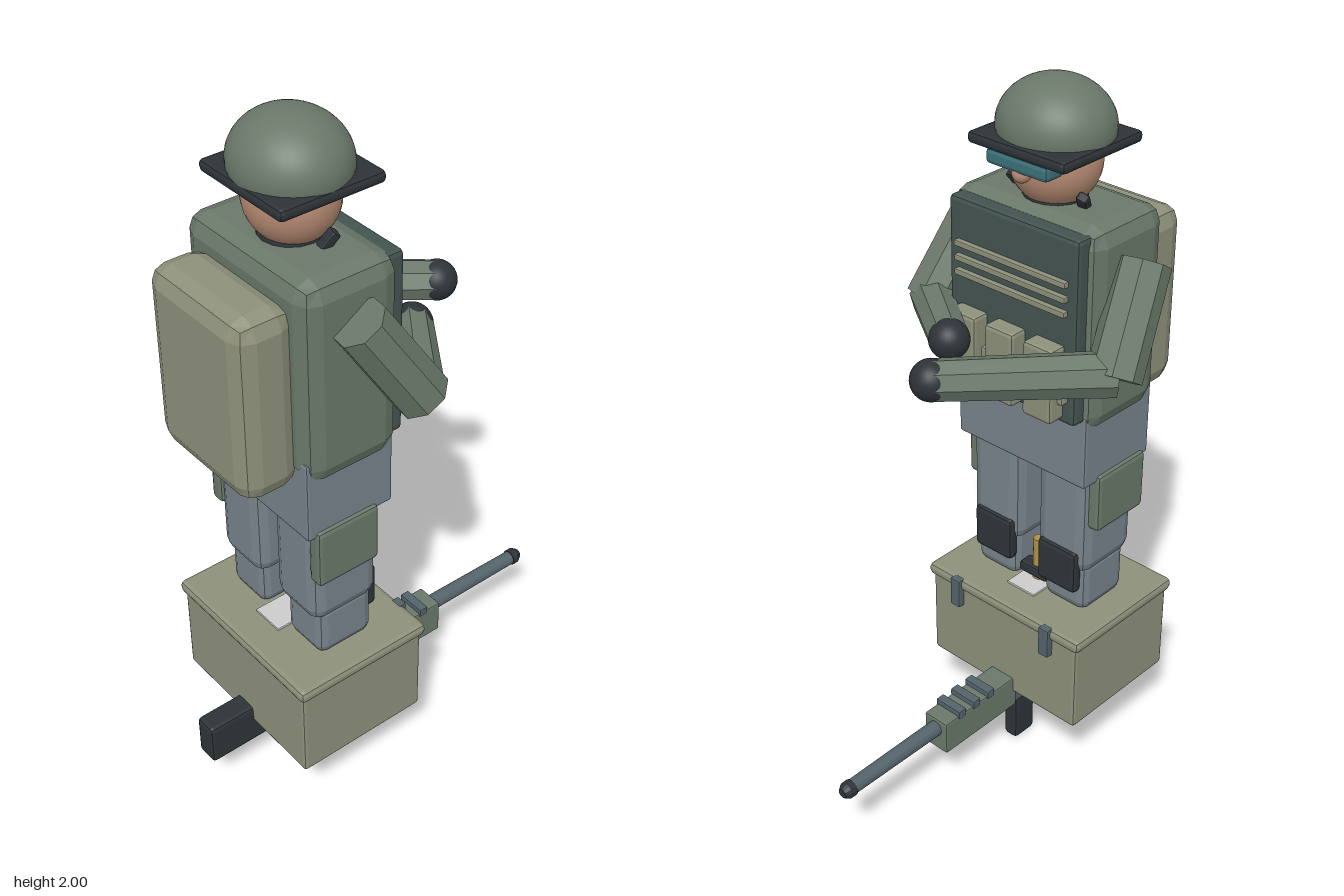
import * as THREE from 'three';
import { RoundedBoxGeometry } from 'three/addons/geometries/RoundedBoxGeometry.js';

const C = {
  green: 0x6a786a, plate: 0x43534f, sand: 0x8d907a, dark: 0x2d3338, cloth: 0x77828a,
  skin: 0xb58a72, teal: 0x3d7078, metal: 0x54636b, brass: 0xb08d45, paper: 0xcccccc,
};

export function createModel() {
  const root = new THREE.Group();

  const add = (name, geo, color, flat = true, parent = root) => {
    const mesh = new THREE.Mesh(geo, new THREE.MeshStandardMaterial({ color, flatShading: flat }));
    mesh.name = name;
    parent.add(mesh);
    return mesh;
  };
  // Chamfered block given by its x, y and z ranges
  const block = (name, color, [x0, x1], [y0, y1], [z0, z1], bevel = 0.01, parent = root) => {
    const w = x1 - x0, h = y1 - y0, d = z1 - z0;
    const geo = new RoundedBoxGeometry(w, h, d, 1, Math.min(bevel, w / 2.1, h / 2.1, d / 2.1));
    const mesh = add(name, geo, color, true, parent);
    mesh.position.set((x0 + x1) / 2, (y0 + y1) / 2, (z0 + z1) / 2);
    return mesh;
  };
  // Tapered faceted rod between two points
  const rod = (name, color, a, b, ra, rb, sides = 8, parent = root) => {
    const p = new THREE.Vector3(...a), q = new THREE.Vector3(...b);
    const dir = q.clone().sub(p);
    const mesh = add(name, new THREE.CylinderGeometry(rb, ra, dir.length(), sides), color, true, parent);
    mesh.position.copy(p).add(q).multiplyScalar(0.5);
    mesh.quaternion.setFromUnitVectors(new THREE.Vector3(0, 1, 0), dir.normalize());
    return mesh;
  };
  const ball = (name, color, [x, y, z], r, [sx, sy, sz] = [1, 1, 1], parent = root) => {
    const mesh = add(name, new THREE.SphereGeometry(r, 32, 20), color, false, parent);
    mesh.position.set(x, y, z);
    mesh.scale.set(sx, sy, sz);
    return mesh;
  };
  const group = (name) => {
    const g = new THREE.Group();
    g.name = name;
    root.add(g);
    return g;
  };
  // x range reflected to the chosen side
  const side = (s, a, b) => (s > 0 ? [a, b] : [-b, -a]);

  // Crate with lid and latches
  const crate = group('crate');
  block('crateBody', C.sand, [-0.27, 0.27], [0.215, 0.51], [0.045, 0.445], 0.01, crate);
  block('crateLid', C.sand, [-0.282, 0.282], [0.485, 0.522], [0.035, 0.455], 0.014, crate);
  for (const s of [-1, 1]) {
    block('latch', C.metal, side(s, 0.15, 0.185), [0.43, 0.522], [0.025, 0.05], 0.004, crate);
  }

  // Items lying on the lid
  block('paperSheet', C.paper, [-0.05, 0.05], [0.52, 0.528], [0.12, 0.36], 0.002);
  block('smallDarkCase', C.dark, [-0.05, 0.05], [0.54, 0.572], [0.17, 0.22], 0.008);
  rod('brassCartridge', C.brass, [0, 0.52, 0.2], [0, 0.66, 0.2], 0.02, 0.018, 12);

  // Long gun lying below the crate
  const gun = group('gun');
  block('gunStock', C.dark, [-0.035, 0.035], [0.14, 0.267], [0.335, 0.585], 0.012, gun);
  block('gunReceiver', C.metal, [-0.035, 0.035], [0.16, 0.262], [0.05, 0.345], 0.006, gun);
  block('gunHandguard', C.green, [-0.042, 0.042], [0.16, 0.265], [-0.23, 0.06], 0.006, gun);
  block('gunGrip', C.dark, [-0.026, 0.026], [0.05, 0.2], [0.218, 0.302], 0.01, gun);
  block('gunMagazine', C.dark, [-0.024, 0.024], [0, 0.2], [0.08, 0.162], 0.012, gun);
  for (let i = 0; i < 3; i++) {
    const z = -0.05 - i * 0.058;
    block('railLug', C.metal, [-0.045, 0.045], [0.255, 0.281], [z - 0.014, z + 0.014], 0.003, gun);
  }
  rod('gunBarrel', C.metal, [0, 0.232, -0.22], [0, 0.232, -0.555], 0.023, 0.021, 14, gun);
  rod('gunMuzzle', C.dark, [0, 0.232, -0.55], [0, 0.232, -0.57], 0.024, 0.024, 14, gun);
  rod('gunMuzzleTip', C.dark, [0, 0.232, -0.57], [0, 0.232, -0.585], 0.024, 0.014, 14, gun);

  // Legs, knee pads and thigh pouches
  for (const s of [-1, 1]) {
    const leg = group(s > 0 ? 'leftLeg' : 'rightLeg');
    block('lowerLeg', C.cloth, side(s, 0.052, 0.2), [0.52, 0.68], [0.157, 0.33], 0.025, leg);
    block('upperLeg', C.cloth, side(s, 0.032, 0.208), [0.65, 0.99], [0.142, 0.352], 0.035, leg);
    block('kneePad', C.dark, side(s, 0.05, 0.185), [0.59, 0.722], [0.13, 0.165], 0.012, leg);
    block('thighPouch', C.green, side(s, 0.19, 0.236), [0.805, 0.98], [0.163, 0.355], 0.012, leg);
  }

  // Hips and torso
  block('hips', C.cloth, [-0.224, 0.224], [0.962, 1.2], [0.112, 0.378], 0.008);
  block('torso', C.green, [-0.242, 0.242], [1.13, 1.695], [0.1, 0.382], 0.05);
  block('backpack', C.sand, [-0.19, 0.19], [1.118, 1.63], [0.36, 0.528], 0.05);

  // Chest plate with webbing and pouches
  const vest = group('vest');
  block('chestPlate', C.plate, [-0.215, 0.215], [1.165, 1.68], [0.073, 0.14], 0.012, vest);
  for (const y of [1.48, 1.52, 1.56]) {
    block('webbingStrip', C.sand, [-0.185, 0.185], [y - 0.008, y + 0.008], [0.058, 0.08], 0.003, vest);
  }
  block('pouchBelt', C.sand, [-0.193, 0.193], [1.23, 1.3], [0.05, 0.08], 0.006, vest);
  for (const x of [-0.13, 0, 0.13]) {
    block('chestPouch', C.sand, [x - 0.048, x + 0.048], [1.18, 1.39], [0.022, 0.08], 0.01, vest);
  }

  // Arms bent forward, the right one reaching further
  for (const [name, s, hand] of [
    ['leftArm', 1, [0.095, 1.36, -0.055]],
    ['rightArm', -1, [-0.018, 1.36, -0.235]],
  ]) {
    const arm = group(name);
    const elbow = [s * 0.315, 1.34, 0.1];
    rod('upperArm', C.green, [s * 0.272, 1.585, 0.255], elbow, 0.07, 0.072, 8, arm);
    rod('forearm', C.green, [s * 0.315, 1.35, 0.105], hand, 0.06, 0.054, 8, arm);
    ball('glove', C.dark, hand, 0.054, [1, 1, 1], arm);
  }

  // Head, nose, goggles and chin straps
  const head = group('head');
  rod('neck', C.dark, [0, 1.66, 0.235], [0, 1.72, 0.235], 0.09, 0.08, 16, head);
  ball('face', C.skin, [0, 1.79, 0.232], 0.122, [1, 1, 0.96], head);
  ball('nose', C.skin, [0, 1.785, 0.107], 0.025, [1, 1, 1], head);
  block('goggles', C.teal, [-0.1, 0.1], [1.79, 1.832], [0.082, 0.15], 0.012, head);
  for (const s of [-1, 1]) {
    const strap = block('chinStrap', C.dark, side(s, 0.095, 0.125), [1.68, 1.735], [0.2, 0.225], 0.006, head);
    strap.rotation.set(-0.6, 0, s * -0.3);
  }

  // Helmet dome over a thin square brim
  ball('helmetDome', C.green, [0, 1.875, 0.232], 0.125, [1.25, 1, 1.16], head)
    .geometry = new THREE.SphereGeometry(0.125, 40, 24, 0, Math.PI * 2, 0, Math.PI * 0.62);
  block('helmetBrim', C.dark, [-0.158, 0.158], [1.828, 1.86], [0.078, 0.378], 0.012, head);

  return root;
}
